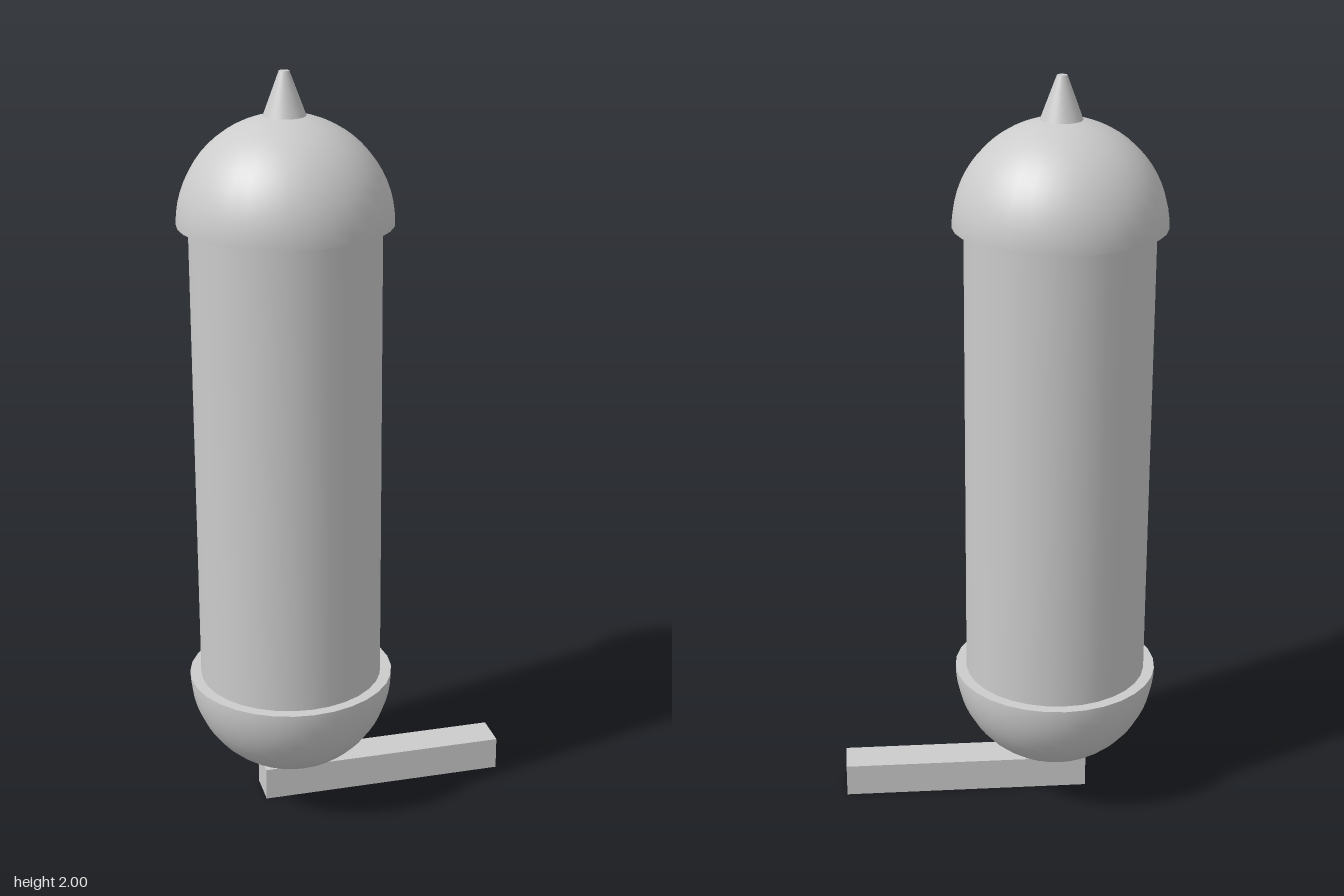
import * as THREE from 'three';

const AXIS_X = -0.155; // the capsule stands off-centre, the foot bar reaches to the left
const BODY_R = 0.245, DOME_R = 0.275;
const LOW_RIM = 0.37, HIGH_RIM = 1.62;

export function createModel() {
  const model = new THREE.Group();
  const material = new THREE.MeshStandardMaterial({ color: 0xcccccc });

  const add = (parent, name, geometry, x, y, z = 0) => {
    const mesh = new THREE.Mesh(geometry, material);
    mesh.name = name;
    mesh.position.set(x, y, z);
    parent.add(mesh);
    return mesh;
  };

  // Straight tube between the two caps
  add(model, 'body', new THREE.CylinderGeometry(BODY_R, BODY_R, HIGH_RIM - LOW_RIM, 32),
    AXIS_X, (HIGH_RIM + LOW_RIM) / 2);

  // Hemispherical cap with a flat closed rim; the bottom one is turned over
  const addCap = (name, y, turn) => {
    const cap = new THREE.Group();
    cap.name = name;
    cap.position.set(AXIS_X, y, 0);
    cap.rotation.x = turn;
    add(cap, name + 'Dome',
      new THREE.SphereGeometry(DOME_R, 32, 16, 0, Math.PI * 2, 0, Math.PI / 2), 0, 0);
    add(cap, name + 'Rim', new THREE.CircleGeometry(DOME_R, 32), 0, 0).rotation.x = Math.PI / 2;
    model.add(cap);
  };
  addCap('topCap', HIGH_RIM, 0);
  addCap('bottomCap', LOW_RIM, Math.PI);

  // Blunt tip on the crown
  add(model, 'tip', new THREE.CylinderGeometry(0.013, 0.054, 0.11, 32), AXIS_X, 1.945);

  // Bar under the bottom cap
  add(model, 'footBar', new THREE.BoxGeometry(0.67, 0.09, 0.1), 0.095, 0.045, 0.002);

  return model;
}
